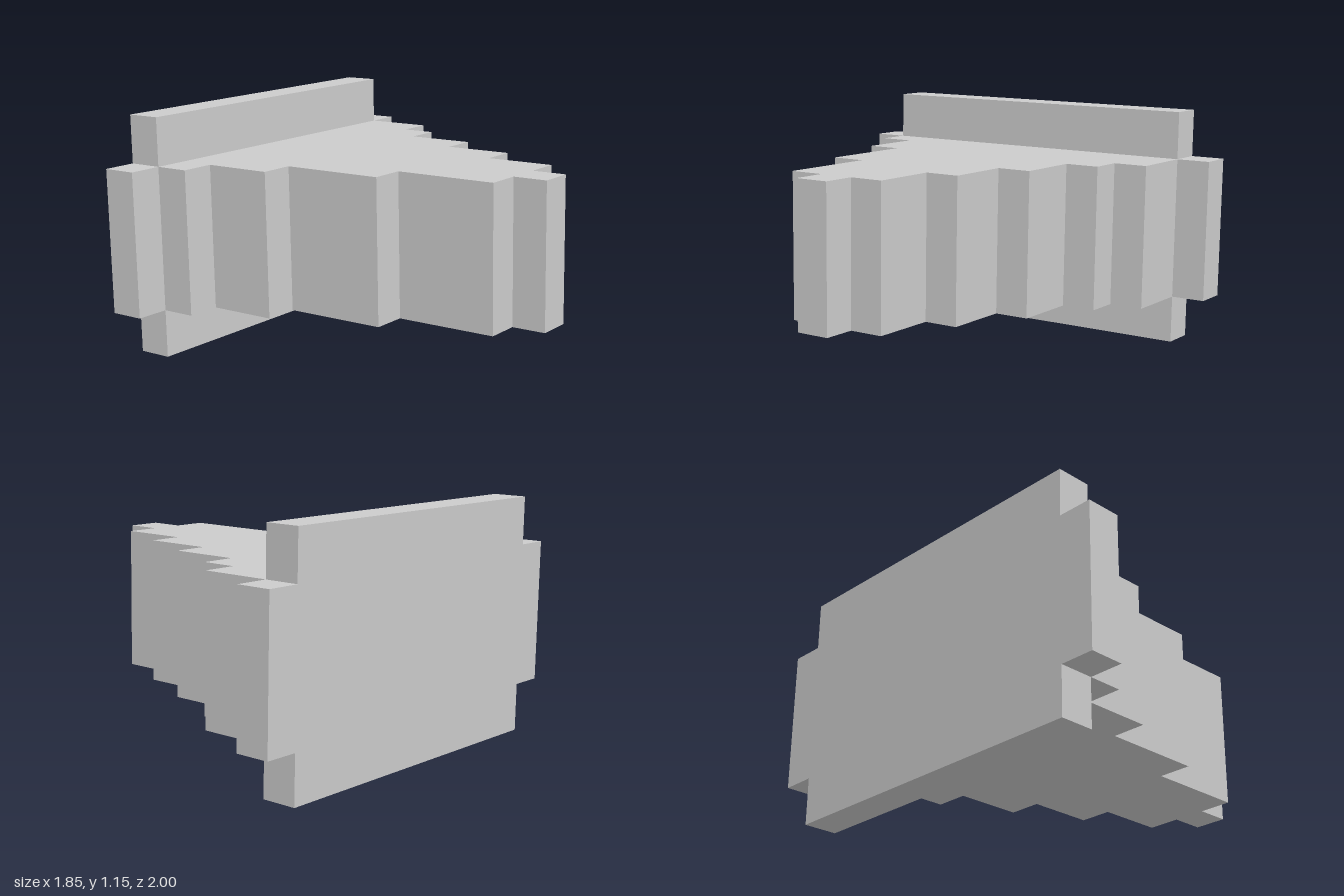
import * as THREE from 'three';

const U = 1 / 6;               // grid unit of the stepped outline
const BACK = -0.917;           // flat side
const CORE_H = 0.686, PLATE_H = 1.146;
const STEPS = [1, 3, 4, 6, 8, 10, 11, 10, 7, 4, 2, 1]; // row lengths, from -z to +z

export function createModel() {
  const model = new THREE.Group();
  model.name = 'steppedBlock';
  const material = new THREE.MeshStandardMaterial({ color: 0xcccccc, flatShading: true });

  const add = (name, geometry) => {
    const mesh = new THREE.Mesh(geometry, material);
    mesh.name = name;
    model.add(mesh);
    return mesh;
  };

  // Stepped wedge: staircase outline in plan, extruded upwards
  const outline = new THREE.Shape();
  outline.moveTo(BACK, 1);
  STEPS.forEach((n, i) => {
    const x = BACK + n * U;
    outline.lineTo(x, 1 - i * U);
    outline.lineTo(x, 1 - (i + 1) * U);
  });
  outline.lineTo(BACK, -1);
  outline.closePath();
  const wedge = new THREE.ExtrudeGeometry(outline, { depth: CORE_H, bevelEnabled: false });
  wedge.rotateX(-Math.PI / 2).translate(0, -CORE_H / 2, 0);
  add('steppedWedge', wedge);

  // Back plate showing above and below the wedge
  const railH = (PLATE_H - CORE_H) / 2;
  for (const side of [1, -1]) {
    const rail = add(side > 0 ? 'upperRail' : 'lowerRail', new THREE.BoxGeometry(U, railH, 10 * U));
    rail.position.set(BACK + U / 2, side * (CORE_H + railH) / 2, 0);
  }

  // Very slight tilt of the whole piece
  model.rotation.set(-0.0015, 0, 0.0148);
  model.position.y = 0.588;
  const root = new THREE.Group();
  root.name = 'model';
  root.add(model);
  return root;
}
